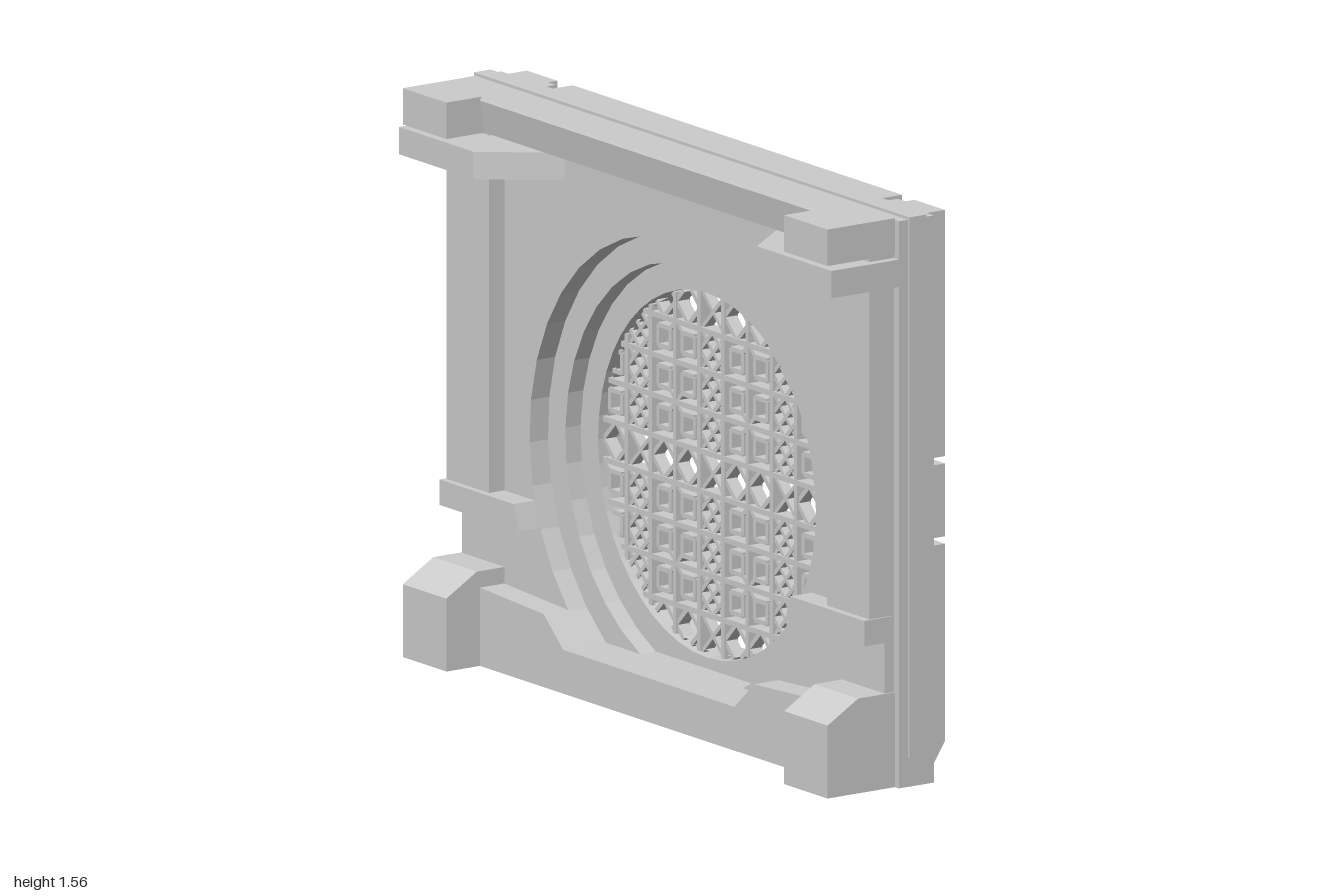
import * as THREE from 'three';
import { mergeGeometries } from 'three/addons/utils/BufferGeometryUtils.js';

const CY = 0.65; // height of the round window's centre
const FLOOR = 0.12; // flat sill that cuts the window recess
const TOP = 1.555;

export function createModel() {
  const group = new THREE.Group();
  const mat = new THREE.MeshStandardMaterial({ color: 0xcccccc, flatShading: true });
  const add = (name, geo) => {
    const m = new THREE.Mesh(geo, mat);
    m.name = name;
    group.add(m);
    return m;
  };
  const poly = (pts) => new THREE.Shape(pts.map(([x, y]) => new THREE.Vector2(x, y)));
  const extrude = (shape, depth) =>
    new THREE.ExtrudeGeometry(shape, { depth, bevelEnabled: false, curveSegments: 1 });
  // box from opposite corners
  const box = (name, x0, x1, y0, y1, z0, z1) =>
    add(name, new THREE.BoxGeometry(Math.abs(x1 - x0), y1 - y0, z1 - z0)
      .translate((x0 + x1) / 2, (y0 + y1) / 2, (z0 + z1) / 2));
  // outline in x, y pushed from z0 to z1
  const plate = (name, shape, z0, z1) => add(name, extrude(shape, z1 - z0).translate(0, 0, z0));
  // outline in z, y pushed along x
  const profile = (name, pts, x0, x1) => {
    const a = Math.min(x0, x1), b = Math.max(x0, x1);
    return add(name, extrude(poly(pts.map(([z, y]) => [-z, y])), b - a).rotateY(Math.PI / 2).translate(a, 0, 0));
  };
  // outline in x, z pushed up along y
  const plan = (name, pts, y0, y1) =>
    add(name, extrude(poly(pts.map(([x, z]) => [x, -z])), y1 - y0).rotateX(-Math.PI / 2).translate(0, y0, 0));

  // circle whose bottom is cut flat at the sill
  const opening = (r, n) => {
    const cut = Math.asin(Math.max(-1, (FLOOR - CY) / r));
    const whole = cut <= -Math.PI / 2 + 1e-6;
    const pts = [];
    for (let i = 0; i < n + (whole ? 0 : 1); i++) {
      const a = cut + (i / n) * (Math.PI - 2 * cut);
      pts.push([r * Math.cos(a), CY + r * Math.sin(a)]);
    }
    return pts;
  };
  const wallShape = (halfW, r, n) => {
    const s = poly([[-halfW, 0], [halfW, 0], [halfW, TOP], [-halfW, TOP]]);
    s.holes.push(new THREE.Path(opening(r, n).map(([x, y]) => new THREE.Vector2(x, y))));
    return s;
  };
  // slope the underside of the rear parts
  const slopeFoot = (mesh) => {
    const p = mesh.geometry.attributes.position;
    for (let i = 0; i < p.count; i++)
      if (p.getY(i) < 0.02 && p.getZ(i) < -0.13) p.setY(i, 0.1);
    mesh.geometry.computeVertexNormals();
  };

  // wall layers, the window stepping inwards from front to back
  plate('frontWall', wallShape(0.97, 0.66, 28), 0, 0.03);
  plate('wallOuterStep', wallShape(0.993, 0.66, 28), -0.03, 0);
  plate('wallMiddleStep', wallShape(0.993, 0.58, 32), -0.08, -0.03);
  plate('wallInnerStep', wallShape(0.993, 0.5, 48), -0.115, -0.08);
  slopeFoot(plate('backPanel', wallShape(0.755, 0.5, 48), -0.18, -0.115));
  box('topRib', -1, 1, 1.53, 1.563, -0.085, -0.03);

  // raised ring round the window at the back
  const ring = [[0.49, -0.1], [0.49, -0.195], [0.53, -0.22], [0.63, -0.22], [0.64, -0.21], [0.64, -0.15]];
  add('backRing', new THREE.LatheGeometry(ring.map(([r, z]) => new THREE.Vector2(r, z)), 36)
    .rotateX(Math.PI / 2).translate(0, CY, 0));

  // plinth, notched by the window recess
  plate('plinth', poly([[-0.78, 0], [0.78, 0], [0.78, 0.215], [0.483, 0.2], [0.393, FLOOR],
    [-0.393, FLOOR], [-0.483, 0.2], [-0.78, 0.215]]), 0.02, 0.11);

  // lintel
  profile('lintel', [[0, 1.455], [0.095, 1.46], [0.11, 1.55], [0.105, 1.56], [0, 1.56]], -0.97, 0.97);

  for (const s of [1, -1]) {
    profile('footBlock', [[0, 0], [0.22, 0], [0.22, 0.2], [0.12, 0.26], [0, 0.26]], s * 0.775, s * 0.975);
    box('pillar', s * 0.775, s * 0.97, 0.44, 1.46, 0, 0.08);
    box('topBlock', s * 0.775, s * 0.975, 1.46, 1.56, 0, 0.22);
    plan('bracket', [[0.5, 0.03], [0.65, 0.22], [0.993, 0.22], [0.993, 0], [0.5, 0]].map(([x, z]) => [s * x, z]), 1.375, 1.45);
    plate('pillarBand', poly([[0.611, 0.4], [0.975, 0.4], [0.975, 0.47], [0.635, 0.47]].map(([x, y]) => [s * x, y])), 0.01, 0.1);
    box('sideRib', s * 0.95, s, 0.08, 1.56, -0.085, -0.03);

    // rear edge strips in three lengths, with a low step beside them
    for (const [y0, y1] of [[0, 0.64], [0.66, 0.86], [0.88, TOP]]) {
      slopeFoot(box('backStrip', s * 0.82, s * 0.96, y0, y1, -0.175, -0.11));
      slopeFoot(box('backStripStep', s * 0.785, s * 0.82, y0, y1, -0.145, -0.11));
    }
  }

  // window lattice, every bar trimmed to the round opening
  const bars = [];
  const bar = (x1, y1, x2, y2, w, d) => {
    const R = 0.497, dx = x2 - x1, dy = y2 - y1;
    const a = dx * dx + dy * dy, b = x1 * dx + y1 * dy, c = x1 * x1 + y1 * y1 - R * R;
    const disc = b * b - a * c;
    if (disc <= 0) return;
    const t0 = Math.max(0, (-b - Math.sqrt(disc)) / a), t1 = Math.min(1, (-b + Math.sqrt(disc)) / a);
    if (t1 - t0 < 0.05) return;
    const t = (t0 + t1) / 2;
    bars.push(new THREE.BoxGeometry((t1 - t0) * Math.sqrt(a), w, d)
      .rotateZ(Math.atan2(dy, dx)).translate(x1 + dx * t, y1 + dy * t, 0));
  };
  const loop = (pts, w, d) => pts.forEach((p, i) => bar(...p, ...pts[(i + 1) % pts.length], w, d));
  const C = 0.111;
  for (let i = -4.5; i <= 4.5; i++) {
    bar(i * C, -0.5, i * C, 0.5, 0.015, 0.045);
    bar(-0.5, i * C, 0.5, i * C, 0.015, 0.045);
  }
  for (let i = -4; i <= 4; i++) {
    for (let j = -4; j <= 4; j++) {
      const x = i * C, y = j * C, h = C / 2;
      const diamond = [[x + h, y], [x, y + h], [x - h, y], [x, y - h]];
      if (i % 3 === 0) {
        // crossed cell
        bar(x - h, y - h, x + h, y + h, 0.011, 0.03);
        bar(x - h, y + h, x + h, y - h, 0.011, 0.03);
        if (j % 4 !== 0) loop(diamond, 0.012, 0.035);
      } else if (j % 4 === 0) {
        loop(diamond, 0.013, 0.035);
      } else {
        // small square tied to the cell's corner
        const q = 0.028, sx = Math.sign(i) * (Math.abs(i) % 3 === 1 ? 1 : -1), sy = j % 2 ? 1 : -1;
        loop([[x - q, y - q], [x + q, y - q], [x + q, y + q], [x - q, y + q]], 0.013, 0.035);
        bar(x + sx * q, y + sy * q, x + sx * h, y + sy * h, 0.012, 0.035);
      }
    }
  }
  add('windowLattice', mergeGeometries(bars)).position.set(0, CY, -0.115);

  return group;
}
